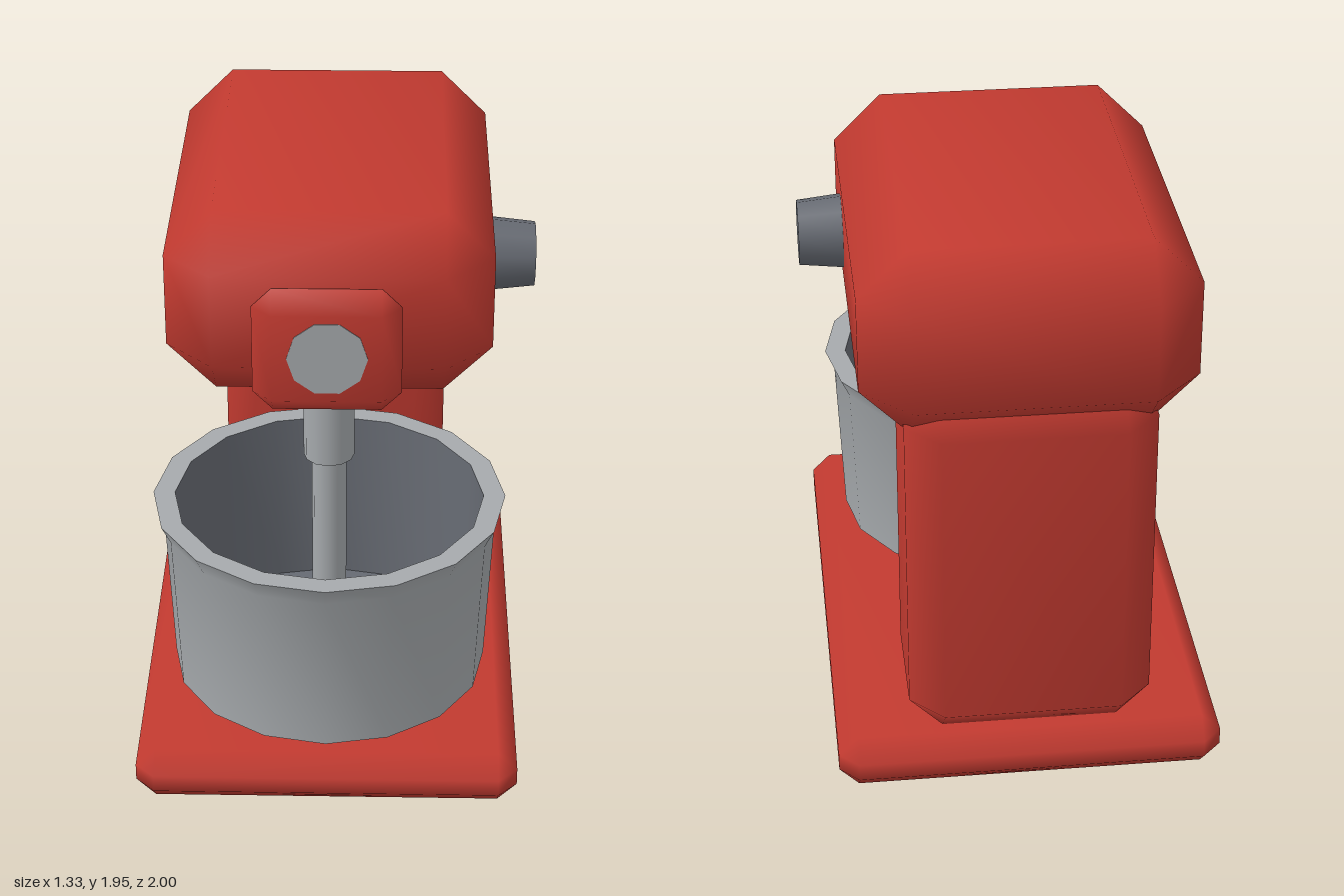
import * as THREE from 'three';
import { mergeVertices, toCreasedNormals } from 'three/addons/utils/BufferGeometryUtils.js';
import { ConvexGeometry } from 'three/addons/geometries/ConvexGeometry.js';

const CX = -0.022; // centre plane of the body; the knob sticks out to one side

// Box with single-step chamfers on all edges and smoothed normals
function chamferBox(min, max, c) {
  const mid = min.map((v, i) => (v + max[i]) / 2);
  const half = min.map((v, i) => (max[i] - v) / 2);
  const points = [];
  for (const sx of [-1, 1]) for (const sy of [-1, 1]) for (const sz of [-1, 1]) {
    const s = [sx, sy, sz];
    for (let axis = 0; axis < 3; axis++) {
      const p = s.map((d, i) => mid[i] + d * (i === axis ? half[i] : half[i] - c));
      points.push(new THREE.Vector3(...p));
    }
  }
  const hull = new ConvexGeometry(points);
  hull.deleteAttribute('normal');
  const geometry = mergeVertices(hull, 1e-4);
  geometry.computeVertexNormals();
  return geometry;
}

// Sixteen-sided turned shape with sharp edges kept
function turned(profile) {
  const points = profile.map(([r, y]) => new THREE.Vector2(r, y));
  return toCreasedNormals(new THREE.LatheGeometry(points, 16), 0.6);
}

export function createModel() {
  const model = new THREE.Group();
  model.name = 'standMixer';

  const material = (name, color) => {
    const m = new THREE.MeshStandardMaterial({ color });
    m.name = name;
    return m;
  };
  const red = material('red enamel', 0xc23a30);
  const steel = material('brushed steel', 0xa6aaad);
  const dark = material('dark grey', 0x666a72);

  const add = (name, geometry, mat, x = 0, y = 0, z = 0) => {
    const mesh = new THREE.Mesh(geometry, mat);
    mesh.name = name;
    mesh.position.set(x, y, z);
    model.add(mesh);
    return mesh;
  };

  // Body
  add('base', chamferBox([-0.667, 0, -1], [0.623, 0.19, 0.94], 0.065), red);
  add('column', chamferBox([-0.425, 0.19, -1], [0.381, 1.46, -0.405], 0.11), red);
  add('head', chamferBox([-0.56, 1.3, -1], [0.516, 1.945, 0.51], 0.161), red);
  add('frontCap', chamferBox([-0.265, 1.35, 0.51], [0.217, 1.785, 0.645], 0.065), red);

  // Round plate on the front cap, with a flat edge at the top
  const badge = new THREE.CylinderGeometry(0.13, 0.13, 0.008, 10, 1, false, Math.PI / 2);
  badge.rotateX(Math.PI / 2);
  add('frontPlate', badge, steel, CX, 1.57, 0.644);

  // Tapered speed knob on the left side
  const knob = new THREE.CylinderGeometry(0.11, 0.128, 0.17, 10, 1, false, Math.PI / 2);
  knob.rotateZ(-Math.PI / 2);
  add('speedKnob', knob, dark, 0.578, 1.62, -0.025);

  // Drive shaft
  add('shaftCollar', new THREE.CylinderGeometry(0.085, 0.085, 0.22, 12), steel, CX, 1.19, 0.405);
  add('shaft', new THREE.CylinderGeometry(0.058, 0.058, 0.66, 12), steel, CX, 0.75, 0.405);

  // Bowl: outside with flared rim, then the lining
  add('bowl', turned([
    [0, 0.19], [0.36, 0.19], [0.538, 0.275], [0.564, 0.855], [0.595, 0.92], [0.522, 0.92],
  ]), steel, CX, 0, 0.405);
  add('bowlLining', turned([[0.522, 0.92], [0.495, 0.29], [0, 0.29]]), dark, CX, 0, 0.405);

  return model;
}
